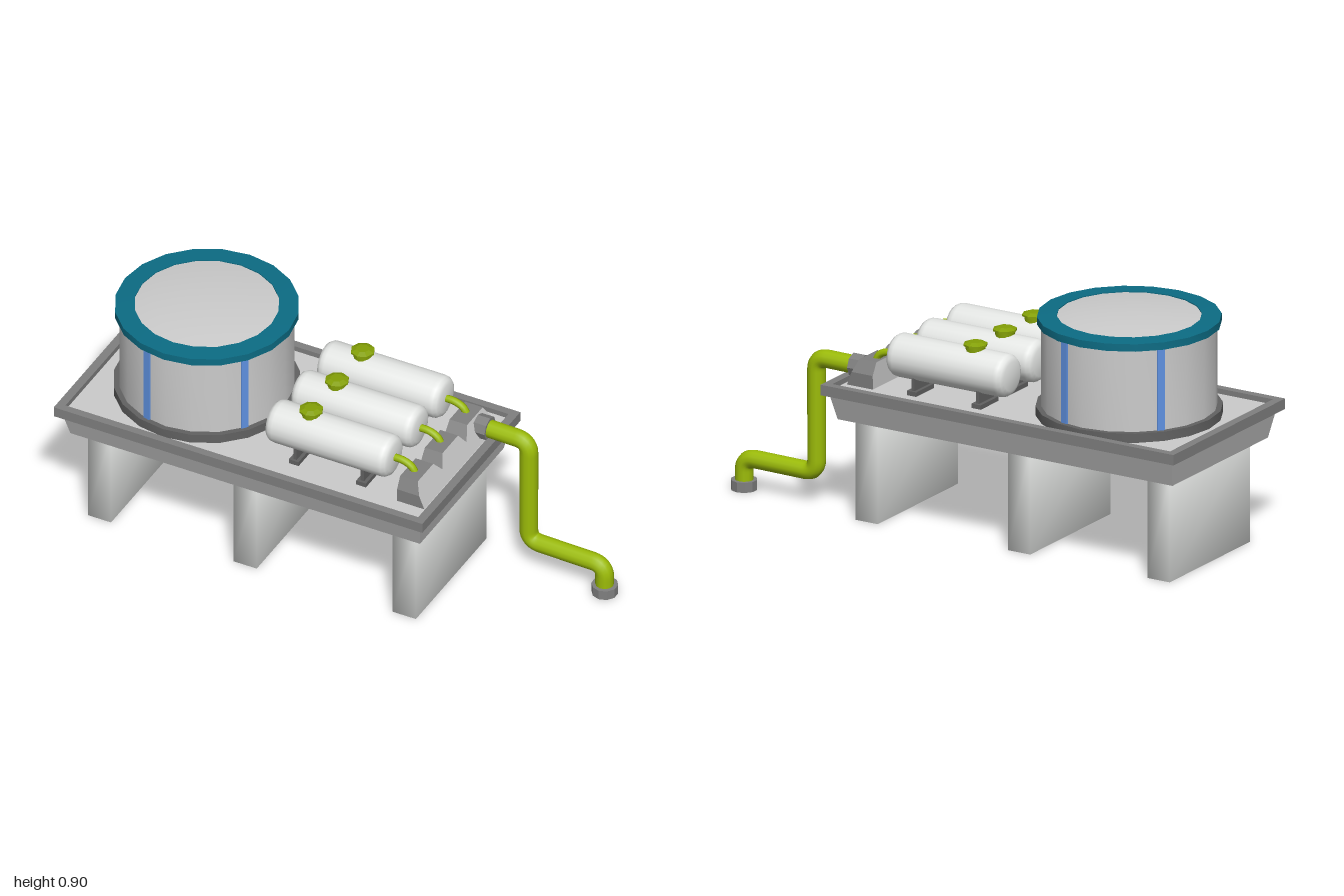
import * as THREE from 'three';
import { mergeVertices, toCreasedNormals } from 'three/addons/utils/BufferGeometryUtils.js';

const mat = (name, color, side = THREE.FrontSide) => {
  const m = new THREE.MeshStandardMaterial({ color, side });
  m.name = name;
  return m;
};

export function createModel() {
  const root = new THREE.Group();
  root.name = 'storageTankPlatform';

  const white = mat('white', 0xe6e8e6);
  const tankGrey = mat('tankGrey', 0xcccccc);
  const concrete = mat('concrete', 0xb8b8b8);
  const midGrey = mat('midGrey', 0x808080);
  const darkGrey = mat('darkGrey', 0x626262);
  const teal = mat('teal', 0x0c6c84);
  const blue = mat('blue', 0x5f92e2);
  const green = mat('green', 0x9cbc08);
  const olive = mat('olive', 0x84a006);

  const add = (name, geo, material, x = 0, y = 0, z = 0, parent = root) => {
    const mesh = new THREE.Mesh(geo, material);
    mesh.name = name;
    mesh.position.set(x, y, z);
    parent.add(mesh);
    return mesh;
  };
  const lathe = (pts, sides, crease = 0.6) =>
    toCreasedNormals(new THREE.LatheGeometry(pts.map(p => new THREE.Vector2(...p)), sides), crease);
  const rect = (path, w, h) =>
    path.moveTo(-w, -h).lineTo(w, -h).lineTo(w, h).lineTo(-w, h).closePath();

  // Support walls, softly shaded
  for (const x of [-0.87, -0.275, 0.375]) {
    let geo = new THREE.BoxGeometry(0.095, 0.4, 0.546);
    geo.deleteAttribute('normal');
    geo.deleteAttribute('uv');
    geo = mergeVertices(geo);
    geo.computeVertexNormals();
    add('supportWall', geo, white, x, 0.2, 0);
  }

  // Platform: tapered slab, deck and raised rim
  const cx = -0.2475;
  const slab = new THREE.BoxGeometry(1.46, 0.1, 0.71).toNonIndexed();
  const sp = slab.attributes.position;
  for (let i = 0; i < sp.count; i++) {
    if (sp.getY(i) < 0) {
      sp.setX(i, sp.getX(i) * 0.978);
      sp.setZ(i, sp.getZ(i) * 0.915);
    }
  }
  slab.computeVertexNormals();
  add('platformSlab', slab, concrete, cx, 0.44, 0);
  add('deck', new THREE.BoxGeometry(1.45, 0.02, 0.71), tankGrey, cx, 0.5, 0);
  const rimShape = new THREE.Shape();
  rect(rimShape, 0.7525, 0.38);
  const hole = new THREE.Path();
  rect(hole, 0.72, 0.35);
  rimShape.holes.push(hole);
  const rim = new THREE.ExtrudeGeometry(rimShape, { depth: 0.04, bevelEnabled: false });
  rim.rotateX(-Math.PI / 2);
  add('platformRim', rim, midGrey, cx, 0.49, 0);

  // Large tank
  const big = new THREE.Group();
  big.name = 'largeTank';
  big.position.set(-0.58, 0, -0.01);
  root.add(big);
  const S = 20;
  add('tankBase', lathe([[0, 0.505], [0.34, 0.505], [0.34, 0.545], [0.3, 0.545]], S), darkGrey, 0, 0, 0, big);
  add('tankWall', lathe([[0.32, 0.54], [0.32, 0.86]], S), tankGrey, 0, 0, 0, big);
  add('tankRing', lathe([[0.3, 0.856], [0.335, 0.856], [0.335, 0.884], [0.263, 0.887], [0.263, 0.87]], S, 0.4),
    teal, 0, 0, 0, big);
  add('tankDome', lathe([[0.266, 0.883], [0.2, 0.892], [0.1, 0.899], [0, 0.901]], S), tankGrey, 0, 0, 0, big);
  for (const deg of [-15, 53, 165, 233]) {
    const a = THREE.MathUtils.degToRad(deg);
    const plate = add('tankStripe', new THREE.BoxGeometry(0.028, 0.315, 0.009), blue,
      0.319 * Math.sin(a), 0.7, 0.319 * Math.cos(a), big);
    plate.rotation.y = a;
  }

  // Three small horizontal tanks with lids, saddles and outlets
  const body = lathe([[0, -0.25], [0.055, -0.249], [0.07, -0.243], [0.079, -0.23], [0.081, -0.215],
    [0.081, 0.215], [0.079, 0.23], [0.07, 0.243], [0.055, 0.249], [0, 0.25]], 20, 0.9);
  body.rotateZ(-Math.PI / 2);
  const neck = lathe([[0.036, 0.69], [0.036, 0.728]], 12);
  const cap = lathe([[0.03, 0.727], [0.045, 0.729], [0.045, 0.736], [0.025, 0.744], [0, 0.745]], 8, 0.3);
  const outlet = new THREE.TubeGeometry(new THREE.CatmullRomCurve3([
    [0.28, 0.637], [0.33, 0.636], [0.365, 0.62], [0.385, 0.585]
  ].map(([x, y]) => new THREE.Vector3(x, y, 0))), 10, 0.014, 8);
  for (const z of [0.197, -0.003, -0.203]) {
    const g = new THREE.Group();
    g.name = 'smallTank';
    g.position.z = z;
    root.add(g);
    add('tankBody', body, white, 0.048, 0.637, 0, g);
    add('lidNeck', neck, olive, -0.045, 0, 0, g);
    add('lidCap', cap, olive, -0.045, 0, 0, g);
    add('outletPipe', outlet, green, 0, 0, 0, g);
    for (const x of [-0.085, 0.19]) {
      add('saddle', new THREE.BoxGeometry(0.014, 0.07, 0.1), darkGrey, x, 0.545, 0, g);
      add('saddleFoot', new THREE.BoxGeometry(0.04, 0.018, 0.12), darkGrey, x, 0.518, 0, g);
    }
  }

  // Notched manifold block, its outer face leaning outward at the foot
  const notch = new THREE.Shape();
  notch.moveTo(-0.275, 0.505).lineTo(0.275, 0.505);
  for (const c of [0.185, 0, -0.185]) {
    const end = Math.sign(c) * 0.007;
    notch.lineTo(c + 0.092, 0.562).lineTo(c + 0.06 + end, 0.607).lineTo(c - 0.06 + end, 0.607);
  }
  notch.lineTo(-0.275, 0.562).closePath();
  const block = new THREE.ExtrudeGeometry(notch, { depth: 0.072, bevelEnabled: false });
  block.rotateY(Math.PI / 2);
  const bp = block.attributes.position;
  for (let i = 0; i < bp.count; i++) {
    if (bp.getX(i) > 0.03) bp.setX(i, bp.getX(i) + (0.607 - bp.getY(i)) * 0.4);
  }
  block.computeVertexNormals();
  add('manifold', block, [tankGrey, midGrey], 0.347, 0, 0);

  // Main discharge pipe with rounded bends
  const route = [[0.42, 0.563, -0.204], [0.636, 0.563, -0.198], [0.636, 0.122, -0.197],
    [0.95, 0.122, -0.189], [0.95, 0.02, -0.189]].map(p => new THREE.Vector3(...p));
  const path = new THREE.CurvePath();
  let from = route[0];
  for (let i = 1; i < route.length - 1; i++) {
    const corner = route[i];
    const toward = p => p.clone().sub(corner).setLength(0.05).add(corner);
    const a = toward(route[i - 1]), b = toward(route[i + 1]);
    path.add(new THREE.LineCurve3(from, a));
    path.add(new THREE.QuadraticBezierCurve3(a, corner, b));
    from = b;
  }
  path.add(new THREE.LineCurve3(from, route[4]));
  add('mainPipe', new THREE.TubeGeometry(path, 110, 0.034, 12), green);

  // Pipe collars
  const inlet = toCreasedNormals(new THREE.CylinderGeometry(0.045, 0.045, 0.05, 8), 0.4);
  inlet.rotateZ(Math.PI / 2);
  add('inletCollar', inlet, midGrey, 0.45, 0.563, -0.203);
  add('outletCollar', toCreasedNormals(new THREE.CylinderGeometry(0.049, 0.049, 0.038, 10), 0.4),
    midGrey, 0.951, 0.019, -0.189);

  return root;
}
